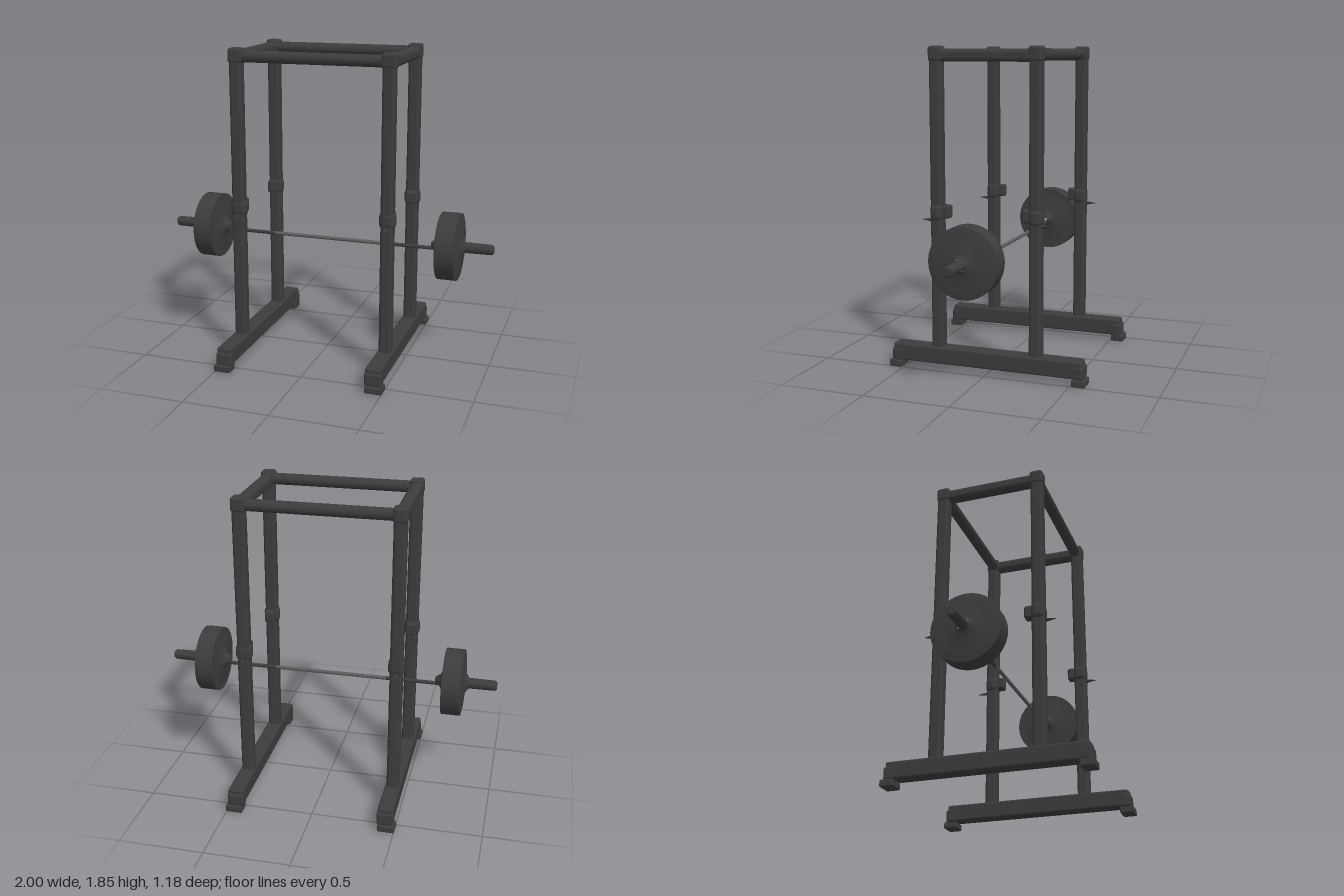
import * as THREE from 'three';
import { RoundedBoxGeometry } from 'three/addons/geometries/RoundedBoxGeometry.js';

const frameMat = new THREE.MeshStandardMaterial({ color: 0x3c3c3c });
frameMat.name = 'charcoal steel';
const barMat = new THREE.MeshStandardMaterial({ color: 0x5c5c5c });
barMat.name = 'bare steel';

const POST_X = 0.447, POST_Z = 0.292, BAR_Y = 0.713;

function add(parent, name, geometry, material, x, y, z) {
  const mesh = new THREE.Mesh(geometry, material);
  mesh.name = name;
  mesh.position.set(x, y, z);
  parent.add(mesh);
  return mesh;
}

const box = (w, h, d, r = 0.01) => new RoundedBoxGeometry(w, h, d, 3, r);

// Surface of revolution around the x axis, from [distance, radius] pairs.
// Repeated points keep hard edges between the flat and round faces.
function turned(points, segments) {
  const g = new THREE.LatheGeometry(points.map(([x, r]) => new THREE.Vector2(r, x)), segments);
  return g.rotateZ(-Math.PI / 2);
}

export function createModel() {
  const model = new THREE.Group();
  model.name = 'powerRack';

  for (const sx of [-1, 1]) {
    const side = new THREE.Group();
    side.name = sx > 0 ? 'leftFrame' : 'rightFrame';
    model.add(side);
    const x = sx * POST_X;

    // floor beam and top side rail
    add(side, 'floorBeam', box(0.092, 0.1, 1.13, 0.012), frameMat, x, 0.09, 0);
    add(side, 'topSideRail', box(0.072, 0.07, 2 * POST_Z, 0.024), frameMat, x, 1.795, 0);

    for (const sz of [-1, 1]) {
      const z = sz * POST_Z;
      add(side, 'post', box(0.074, 1.73, 0.072, 0.02), frameMat, x, 0.965, z);
      add(side, 'postCap', box(0.082, 0.085, 0.078, 0.016), frameMat, x, 1.803, z);

      // bar hook on the inner face of the post, with its locking pin in front
      add(side, 'hookCollar', box(0.094, 0.1, 0.078, 0.03), frameMat, x, 0.92, z);
      add(side, 'barHook', box(0.06, 0.075, 0.05, 0.012), frameMat, x, 0.925, sz * 0.238);
      const pin = add(side, 'hookPin', new THREE.ConeGeometry(0.015, 0.08, 8), frameMat, x, 0.872, sz * 0.355);
      pin.rotation.x = sz * Math.PI / 2;

      // feet under the ends of the beam
      add(side, 'foot', box(0.1, 0.04, 0.08, 0.008), frameMat, sx * 0.455, 0.02, sz * 0.55);
      add(side, 'beamEnd', box(0.098, 0.075, 0.06, 0.012), frameMat, x, 0.075, sz * 0.545);
    }

    // weight plate with bevelled rims and shallow hubs
    const plate = add(model, 'weightPlate', turned([
      [0.635, 0.012], [0.65, 0.03], [0.665, 0.035], [0.68, 0.07], [0.69, 0.165],
      [0.69, 0.165], [0.69, 0.197], [0.69, 0.197], [0.8, 0.197], [0.8, 0.197],
      [0.807, 0.16], [0.807, 0.16], [0.815, 0.06], [0.835, 0.034]
    ], 40), frameMat, 0, BAR_Y, 0);
    // sleeve carrying the plate
    const sleeve = add(model, 'barSleeve', turned([
      [0.8, 0.032], [0.99, 0.03], [0.99, 0.03], [1, 0.022], [1, 0.022], [1, 0]
    ], 16), frameMat, 0, BAR_Y, 0);
    if (sx < 0) plate.rotation.y = sleeve.rotation.y = Math.PI;

    // dark outer length of the bar
    const outer = add(model, 'barOuter', new THREE.CylinderGeometry(0.011, 0.011, 0.33, 12), frameMat, sx * 0.505, 0.692, 0);
    outer.rotation.z = Math.PI / 2;
  }

  // top cross members, front and back
  for (const sz of [-1, 1]) {
    const rail = new THREE.CylinderGeometry(0.034, 0.034, 2 * POST_X, 20).rotateZ(Math.PI / 2);
    add(model, sz > 0 ? 'frontCrossRail' : 'backCrossRail', rail, frameMat, 0, 1.798, sz * 0.287);
  }

  // grip length of the bar
  const grip = new THREE.CylinderGeometry(0.011, 0.011, 0.68, 12).rotateZ(Math.PI / 2);
  add(model, 'barGrip', grip, barMat, 0, 0.692, 0);

  return model;
}
